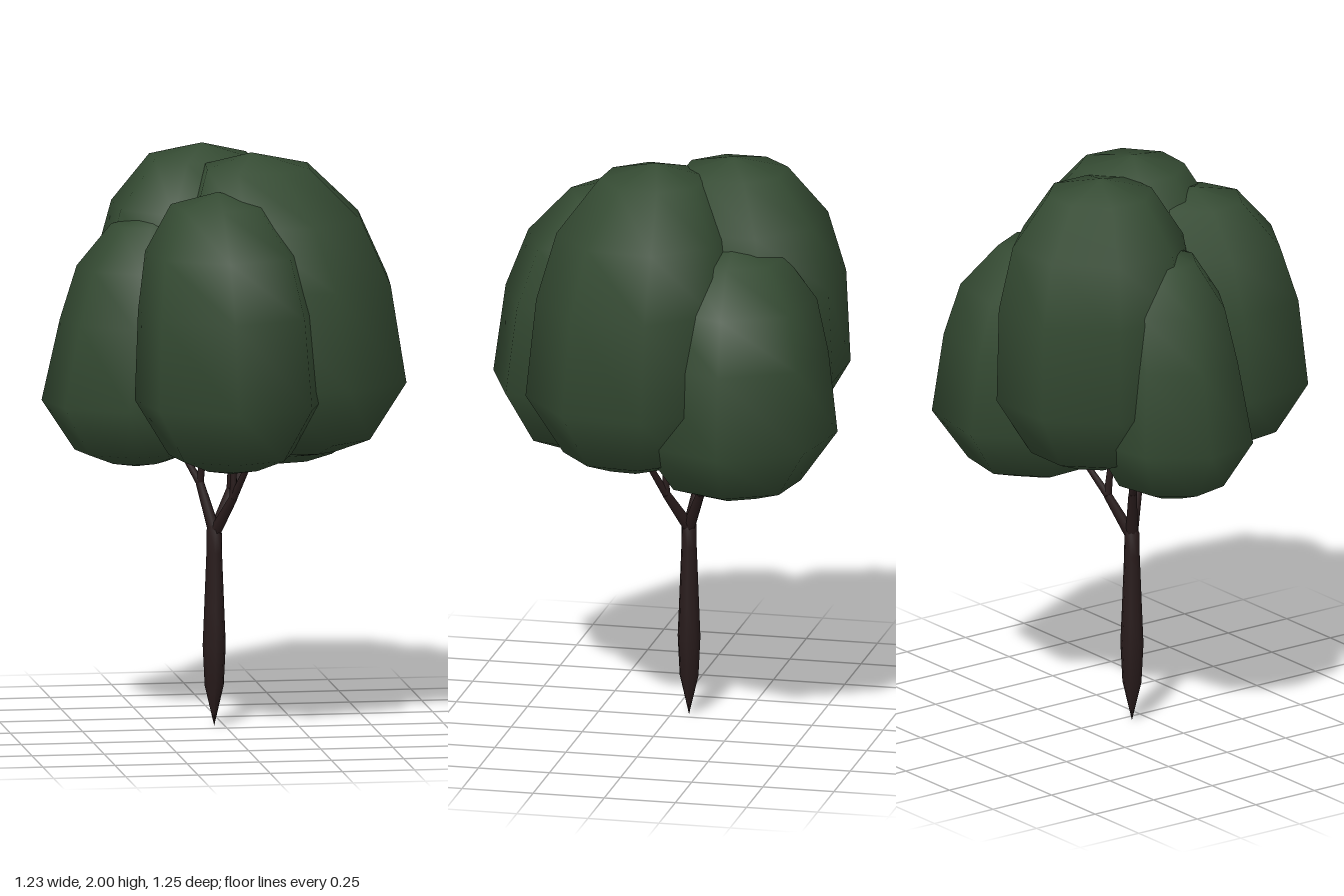
import * as THREE from 'three';

const leafMat = new THREE.MeshStandardMaterial({ color: 0x344a32 });
const barkMat = new THREE.MeshStandardMaterial({ color: 0x281b1b });

// Low-poly egg-shaped leaf clump; the crown leans by (leanX, leanZ) toward its top
function leafClump({ name, x, z, rx, rz, y0, y1, phase, sides = 8, leanX = 0, leanZ = 0, full = 1 }) {
  const profile = [
    [0, 0], [0.32, 0.02], [0.65, 0.065], [1, 0.26],
    [0.94 * full, 0.58], [0.82 * full, 0.79], [0.5 * full, 0.955], [0, 1],
  ].map(([r, t]) => new THREE.Vector2(r, t));
  const geo = new THREE.LatheGeometry(profile, sides, THREE.MathUtils.degToRad(phase));
  geo.scale(rx, y1 - y0, rz);
  const p = geo.attributes.position;
  for (let i = 0; i < p.count; i++) {
    const t = p.getY(i) / (y1 - y0);
    const lean = Math.max(0, (t - 0.26) / 0.74) ** 2;
    p.setX(i, p.getX(i) + leanX * lean);
    p.setZ(i, p.getZ(i) + leanZ * lean);
  }
  const mesh = new THREE.Mesh(geo, leafMat);
  mesh.name = name;
  mesh.position.set(x, y0, z);
  return mesh;
}

// Tapered limb between two points
function limb(name, a, b, r0, r1) {
  const from = new THREE.Vector3(...a), to = new THREE.Vector3(...b);
  const dir = to.clone().sub(from);
  const mesh = new THREE.Mesh(new THREE.CylinderGeometry(r1, r0, dir.length(), 7), barkMat);
  mesh.name = name;
  mesh.position.copy(from).add(to).multiplyScalar(0.5);
  mesh.quaternion.setFromUnitVectors(new THREE.Vector3(0, 1, 0), dir.normalize());
  return mesh;
}

export function createModel() {
  const tree = new THREE.Group();
  tree.name = 'tree';

  // Trunk with a pointed root
  const trunkProfile = [[0, 0], [0.033, 0.14], [0.04, 0.28], [0.035, 0.4], [0.027, 0.6], [0.026, 0.68], [0, 0.73]]
    .map(([r, y]) => new THREE.Vector2(r, y));
  const trunk = new THREE.Mesh(new THREE.LatheGeometry(trunkProfile, 8), barkMat);
  trunk.name = 'trunk';
  trunk.position.set(-0.035, 0, -0.06);
  tree.add(trunk);

  // Each branch rises from the fork to an elbow, then splits into twigs
  const fork = [-0.033, 0.67, -0.06];
  const branches = [
    { elbow: [-0.08, 0.84, -0.09], twigs: [[-0.18, 1.02, -0.13], [-0.06, 1.04, -0.06]] },
    { elbow: [0.022, 0.8, 0.008], twigs: [[0.02, 1.04, 0.01], [0.1, 1.02, 0.11]] },
    { elbow: [0.03, 0.81, -0.115], twigs: [[0.15, 0.98, -0.18], [0.03, 1.02, -0.09]] },
  ];
  for (const { elbow, twigs } of branches) {
    tree.add(limb('branch', fork, elbow, 0.022, 0.015));
    for (const tip of twigs) tree.add(limb('twig', elbow, tip, 0.014, 0.007));
  }

  // Canopy of five overlapping clumps
  const canopy = new THREE.Group();
  canopy.name = 'canopy';
  [
    { name: 'backRightClump', x: -0.095, z: -0.26, rx: 0.345, rz: 0.35, y0: 0.98, y1: 2.0, phase: 22, leanX: 0.04, leanZ: 0.05, full: 1.05 },
    { name: 'backLeftClump', x: 0.23, z: -0.275, rx: 0.345, rz: 0.36, y0: 0.87, y1: 1.75, phase: 196, sides: 7, leanX: -0.07, leanZ: 0.01, full: 0.97 },
    { name: 'leftClump', x: 0.25, z: 0.07, rx: 0.38, rz: 0.37, y0: 0.95, y1: 2.0, phase: 17, leanX: -0.17, leanZ: -0.04 },
    { name: 'frontClump', x: -0.03, z: 0.305, rx: 0.335, rz: 0.328, y0: 0.93, y1: 1.89, phase: -4, sides: 7, leanX: -0.03, leanZ: -0.12 },
    { name: 'rightClump', x: -0.3, z: -0.1, rx: 0.325, rz: 0.285, y0: 0.9, y1: 1.78, phase: -11, leanX: 0.07, full: 0.9 },
  ].forEach((spec) => canopy.add(leafClump(spec)));
  tree.add(canopy);

  return tree;
}
